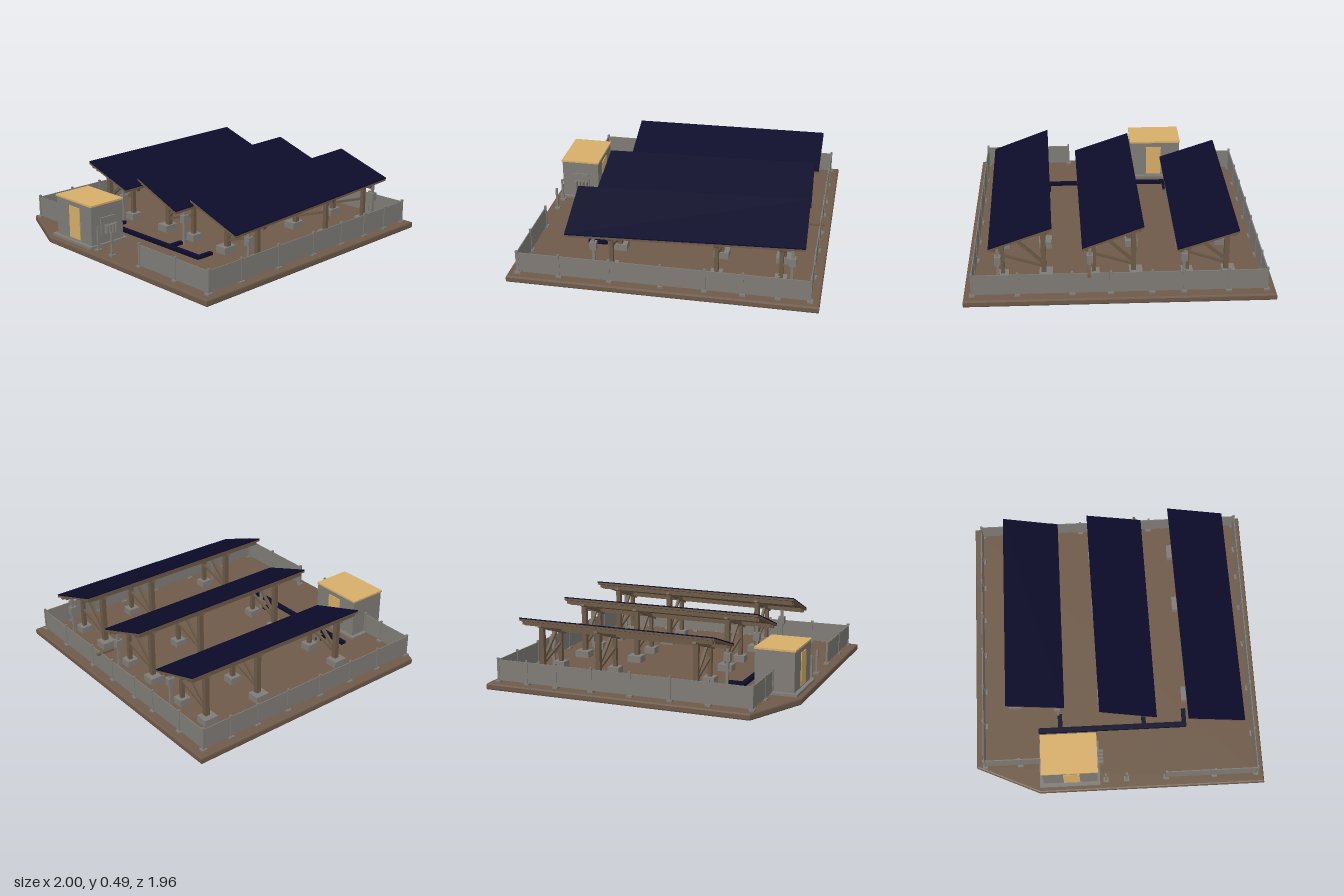
import * as THREE from 'three';

const mat = (name, color) => {
  const m = new THREE.MeshStandardMaterial({ color });
  m.name = name;
  return m;
};
const V = (x, y, z) => new THREE.Vector3(x, y, z);

export function createModel() {
  const earth = mat('earth brown', 0x6e5a49);
  const wood = mat('frame brown', 0x6b5946);
  const grey = mat('concrete grey', 0x7f7c77);
  const navy = mat('panel navy', 0x0c0b2a);
  const sand = mat('sand', 0xd6ae68);
  const root = new THREE.Group();

  const add = (parent, name, geometry, material) => {
    const m = new THREE.Mesh(geometry, material);
    m.name = name;
    parent.add(m);
    return m;
  };
  const box = (parent, name, material, w, h, d, x, y, z) => {
    const m = add(parent, name, new THREE.BoxGeometry(w, h, d), material);
    m.position.set(x, y, z);
    return m;
  };
  // square bar running from a to b
  const bar = (parent, name, material, a, b, w, d = w) => {
    const m = add(parent, name, new THREE.BoxGeometry(w, d, a.distanceTo(b)), material);
    m.position.copy(a).lerp(b, 0.5);
    m.lookAt(b);
    return m;
  };
  // sheet between four top corners (counter-clockwise from above), t thick, lowered by drop
  const sheet = (parent, name, material, corners, drop, t) => {
    const top = corners.map((c) => V(c.x, c.y - drop, c.z));
    const low = top.map((c) => V(c.x, c.y - t, c.z));
    const p = [];
    const quad = (a, b, c, d) => [a, b, c, a, c, d].forEach((v) => p.push(v.x, v.y, v.z));
    quad(...top);
    quad(low[3], low[2], low[1], low[0]);
    for (let i = 0; i < 4; i++) {
      const j = (i + 1) % 4;
      quad(low[i], low[j], top[j], top[i]);
    }
    const g = new THREE.BufferGeometry();
    g.setAttribute('position', new THREE.Float32BufferAttribute(p, 3));
    g.computeVertexNormals();
    return add(parent, name, g, material);
  };

  // ground slab with one cut corner
  const outline = new THREE.Shape(
    [[-0.99, -0.97], [0.99, -0.97], [0.99, 0.97], [-0.8, 0.97], [-0.99, 0.55]].map(
      ([x, y]) => new THREE.Vector2(x, y)));
  const ground = new THREE.ExtrudeGeometry(outline, {
    depth: 0.025, bevelThickness: 0.01, bevelSize: 0.01, bevelSegments: 2 });
  ground.rotateX(-Math.PI / 2);
  ground.translate(0, 0.01, 0);
  add(root, 'groundSlab', ground, earth);

  // fence runs, each a list of post positions
  const fence = new THREE.Group();
  fence.name = 'fence';
  root.add(fence);
  const runs = [
    [-0.93, -0.66, -0.33, 0, 0.28, 0.52, 0.74, 0.94].map((x) => [x, 0.925]),
    [-0.8, -0.52, -0.27, 0, 0.27, 0.52, 0.73, 0.94].map((x) => [x, -0.92]),
    [-0.92, -0.68, -0.4, -0.2, 0.06, 0.3, 0.64, 0.925].map((z) => [0.94, z]),
    [0.31, 0.64, 0.925].map((z) => [-0.935, z]),
    [-0.92, -0.68, -0.53].map((z) => [-0.8, z]),
  ];
  const post = (x, z) => {
    box(fence, 'fencePost', grey, 0.014, 0.165, 0.014, x, 0.125, z);
    box(fence, 'fenceFoot', grey, 0.036, 0.014, 0.036, x, 0.05, z);
  };
  for (const run of runs) {
    run.forEach(([x, z], i) => {
      post(x, z);
      if (i) {
        const [px, pz] = run[i - 1];
        bar(fence, 'fencePanel', grey, V(px, 0.126, pz), V(x, 0.126, z), 0.006, 0.138);
      }
    });
  }
  // gate posts beside the hut
  post(-0.935, 0.04);
  post(-0.935, -0.1);

  // equipment hut
  const hut = new THREE.Group();
  hut.name = 'hut';
  root.add(hut);
  box(hut, 'hutPad', grey, 0.31, 0.02, 0.41, -0.815, 0.052, -0.345);
  box(hut, 'hutWalls', grey, 0.262, 0.27, 0.366, -0.812, 0.19, -0.34);
  box(hut, 'hutRoof', sand, 0.272, 0.012, 0.376, -0.812, 0.331, -0.34);
  for (const x of [-0.945, -0.679]) {
    box(hut, 'hutDoor', sand, 0.006, 0.22, 0.11, x, 0.182, -0.33);
  }
  box(hut, 'frontHatch', grey, 0.12, 0.12, 0.012, -0.81, 0.18, -0.152);
  for (let i = 0; i < 4; i++) {
    box(hut, 'ventFin', grey, 0.012, 0.06, 0.045, -0.84 + i * 0.025, 0.16, -0.135);
  }

  // tilted arrays: corners are front left, front right, back right, back left
  const arrays = [
    [V(-0.635, 0.32, 0.85), V(0.89, 0.355, 0.815), V(0.88, 0.49, 0.42), V(-0.645, 0.465, 0.46)],
    [V(-0.585, 0.32, 0.26), V(0.875, 0.338, 0.235), V(0.86, 0.475, -0.15), V(-0.57, 0.46, -0.125)],
    [V(-0.485, 0.305, -0.36), V(0.88, 0.318, -0.36), V(0.88, 0.443, -0.74), V(-0.49, 0.43, -0.745)],
  ];
  for (const c of arrays) {
    const row = new THREE.Group();
    row.name = 'solarRow';
    root.add(row);
    sheet(row, 'solarPanels', navy, c, 0, 0.008);
    sheet(row, 'panelBacking', wood, c, 0.008, 0.014);
    // point below the panel: u runs left to right, v front to back
    const at = (u, v, drop) => {
      const p = c[0].clone().lerp(c[1], u).lerp(c[3].clone().lerp(c[2], u), v);
      p.y -= drop;
      return p;
    };
    for (const v of [0.07, 0.2, 0.82, 0.93]) {
      bar(row, 'purlin', wood, at(0.01, v, 0.03), at(0.99, v, 0.03), 0.022);
    }
    const width = c[1].x - c[0].x;
    for (const x of [-0.35, 0.33, 0.74]) {
      const u = (x - c[0].x) / width;
      const head = at(u, 0.86, 0.035);
      const front = at(u, 0.2, 0.035);
      const floor = (p, y) => V(p.x, y, p.z);
      bar(row, 'rafter', wood, at(u, 0.04, 0.04), at(u, 0.96, 0.04), 0.026);
      bar(row, 'rearPost', wood, floor(head, 0.04), head, 0.032);
      bar(row, 'frontPost', wood, floor(front, 0.04), front, 0.026);
      bar(row, 'brace', wood, floor(head, 0.15), at(u, 0.35, 0.04), 0.018);
      bar(row, 'brace', wood, floor(front, 0.22), floor(head, 0.13), 0.016);
      box(row, 'rearFooting', grey, 0.1, 0.05, 0.085, head.x, 0.066, head.z - 0.015);
      box(row, 'frontFooting', grey, 0.08, 0.05, 0.075, front.x, 0.066, front.z);
    }
    // junction boxes with conduits at both ends
    for (const x of [-0.46, 0.81]) {
      const p = at((x - c[0].x) / width, 0.13, 0.03);
      bar(row, 'conduit', grey, V(p.x, 0.04, p.z), p, 0.018);
      box(row, 'junctionBox', grey, 0.045, 0.055, 0.04, p.x, 0.225, p.z);
    }
  }

  // cable trench linking the rows and a stub cable at the far side
  box(root, 'mainCable', navy, 0.036, 0.02, 1.02, -0.572, 0.055, -0.04);
  box(root, 'branchCable', navy, 0.12, 0.02, 0.03, -0.52, 0.055, -0.4);
  box(root, 'branchCable', navy, 0.12, 0.02, 0.03, -0.52, 0.055, 0.18);
  box(root, 'branchCable', navy, 0.12, 0.02, 0.03, -0.52, 0.055, 0.46);
  box(root, 'sideRail', wood, 0.12, 0.014, 0.02, 0.91, 0.19, 0.195);

  return root;
}
